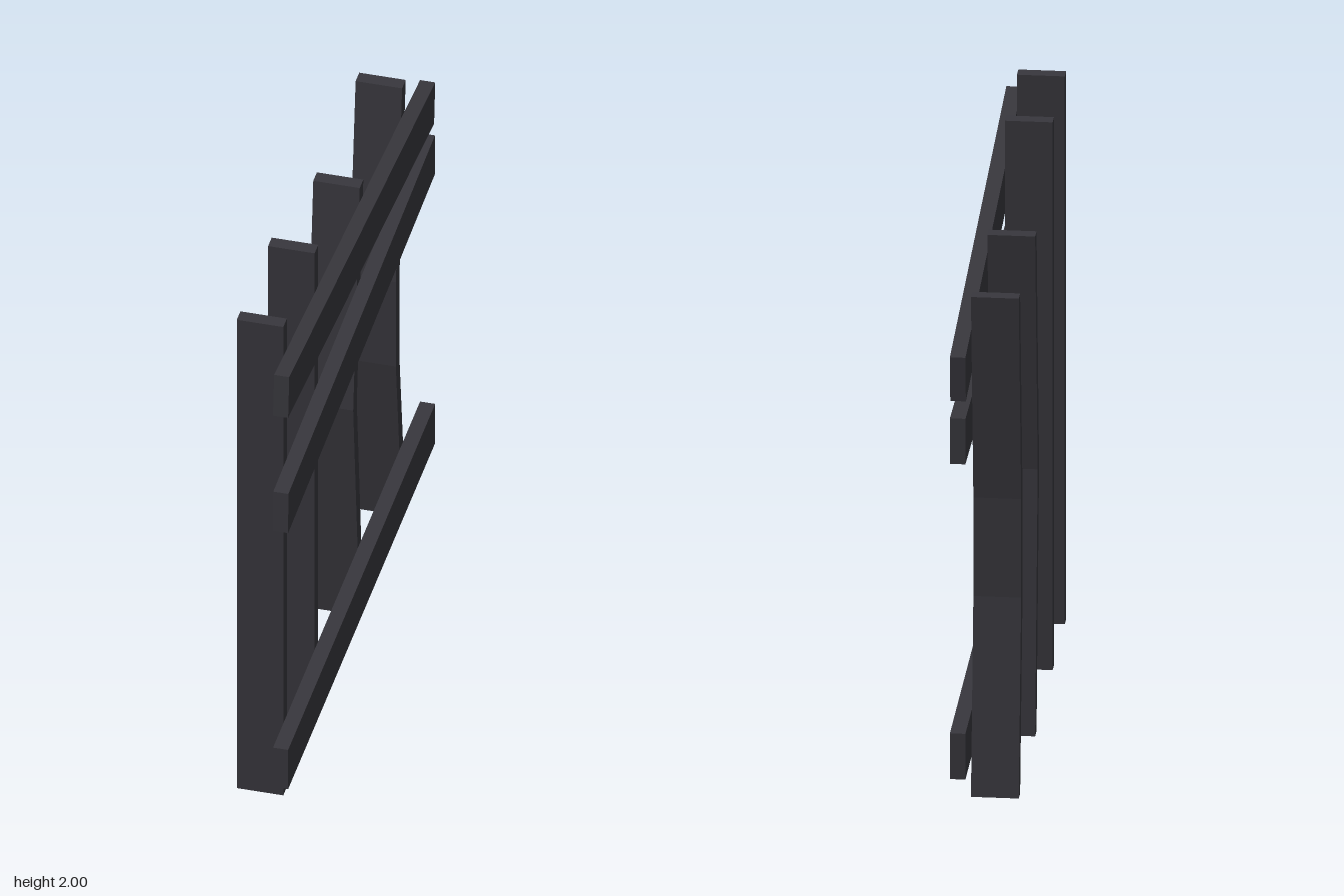
import * as THREE from 'three';

const charcoal = new THREE.MeshStandardMaterial({ color: 0x38373d });
charcoal.name = 'charcoal wood';

// Extrude a side outline of [z, y] points between two x positions
function board(name, points, x0, x1) {
  const shape = new THREE.Shape(points.map(([z, y]) => new THREE.Vector2(-z, y)));
  const geometry = new THREE.ExtrudeGeometry(shape, { depth: x1 - x0, bevelEnabled: false });
  geometry.rotateY(Math.PI / 2).translate(x0, 0, 0);
  const mesh = new THREE.Mesh(geometry, charcoal);
  mesh.name = name;
  return mesh;
}

// Upright slat following a centre line of [z, y] points
function slat(name, line) {
  const half = 0.0245;
  const front = line.map(([z, y]) => [z + half, y]);
  const back = line.map(([z, y]) => [z - half, y]).reverse();
  return board(name, [...front, ...back], -0.108, 0.055);
}

export function createModel() {
  const fence = new THREE.Group();
  fence.name = 'fence';

  // Two straight and two bent slats
  fence.add(
    slat('frontSlat', [[0.836, 0], [0.836, 2]]),
    slat('secondSlat', [[0.41, 0], [0.41, 2]]),
    slat('bentSlat', [[-0.204, 0], [-0.115, 0.94], [-0.204, 1.825]]),
    slat('bowedSlat', [[-0.78, 0], [-0.695, 0.7], [-0.695, 1.06], [-0.78, 1.825]])
  );

  // Rails nailed across the slats, the upper two crooked
  const rails = {
    lowerRail: [[1, 0.14], [1, 0.307], [-1, 0.307], [-1, 0.14]],
    middleRail: [[1, 1.233], [0.997, 1.398], [-0.997, 1.456], [-1, 1.291]],
    upperRail: [[1, 1.725], [0.985, 1.888], [-1, 1.68], [-0.985, 1.515]],
  };
  for (const [name, points] of Object.entries(rails)) {
    fence.add(board(name, points, 0.055, 0.108));
  }
  return fence;
}
